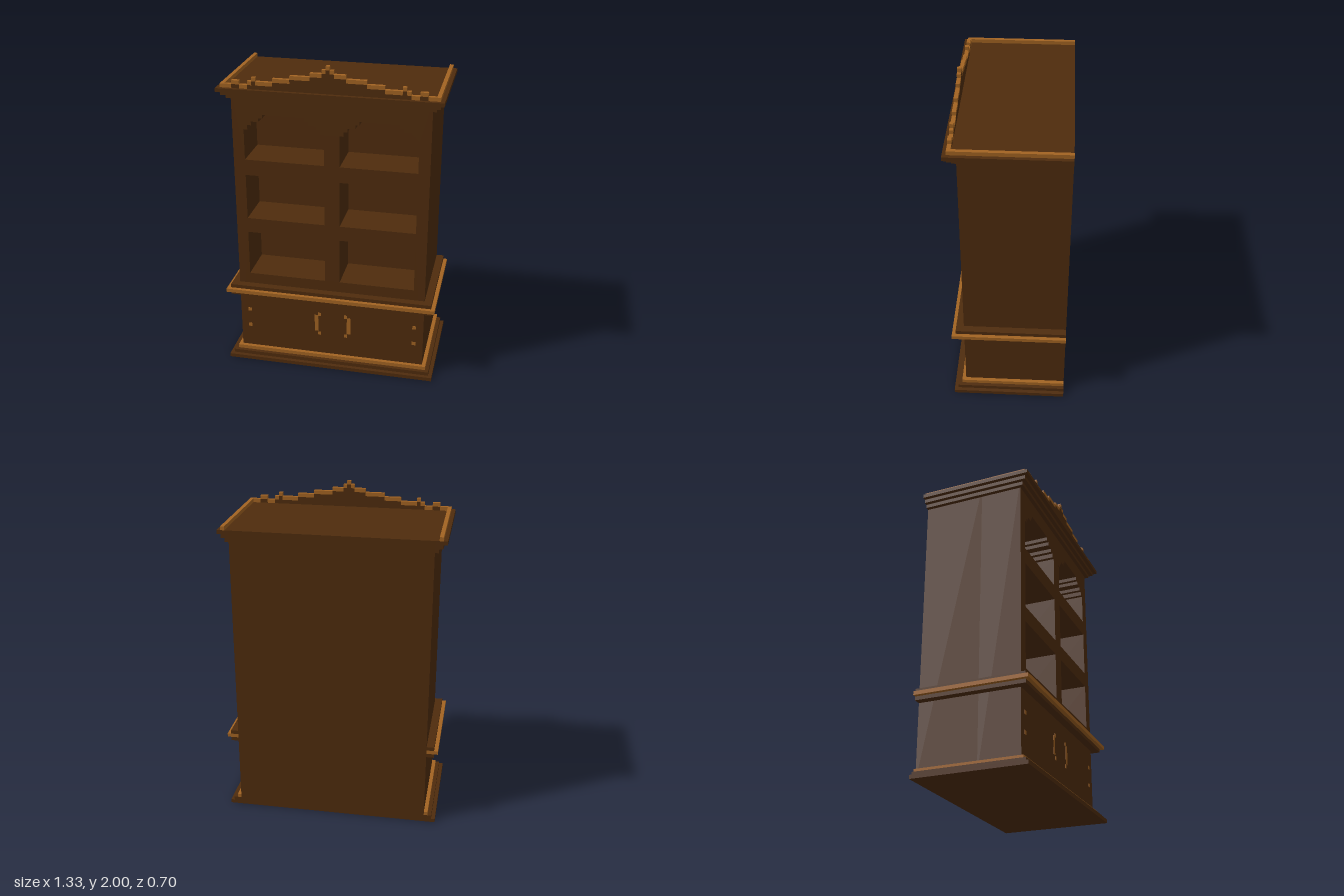
import * as THREE from 'three';

const U = 1 / 43; // one block
const BACK = -15, FRONT = 12, HALF = 25.5;

export function createModel() {
  const model = new THREE.Group();
  model.name = 'bookcase';
  const dark = new THREE.MeshStandardMaterial({ color: 0x4f2c0d });
  dark.name = 'dark wood';
  const light = new THREE.MeshStandardMaterial({ color: 0xa36422 });
  light.name = 'light wood';

  // Box given by its limits in blocks
  function box(parent, name, mat, x0, x1, y0, y1, z0, z1) {
    const geo = new THREE.BoxGeometry((x1 - x0) * U, (y1 - y0) * U, (z1 - z0) * U);
    const mesh = new THREE.Mesh(geo, mat);
    mesh.position.set((x0 + x1) / 2 * U, (y0 + y1) / 2 * U, (z0 + z1) / 2 * U);
    mesh.name = name;
    parent.add(mesh);
  }
  function group(name) {
    const g = new THREE.Group();
    g.name = name;
    model.add(g);
    return g;
  }

  // Solid rear half of the carcass; its front is the back of the niches
  box(model, 'carcassBack', dark, -HALF, HALF, 0, 79, BACK, 1);

  // Front half of the carcass, pierced by six niches
  const P = (x, y) => new THREE.Vector2(x * U, y * U);
  const face = new THREE.Shape([P(-HALF, 0), P(HALF, 0), P(HALF, 79), P(-HALF, 79)]);
  for (const [x0, x1] of [[-22.5, -1.5], [2.5, 22.5]]) {
    for (const [y0, y1] of [[26, 38.5], [42.6, 55]]) {
      face.holes.push(new THREE.Path([P(x0, y0), P(x0, y1), P(x1, y1), P(x1, y0)]));
    }
    // Top niche with a stepped arch: inset from the side, drop from the crown
    const steps = [[0, 4.2], [1, 4.2], [1, 3], [2, 3], [2, 2], [4, 2], [4, 1], [5, 1], [5, 0]];
    const top = 71.8;
    face.holes.push(new THREE.Path([
      P(x0, 59.3),
      ...steps.map(([i, d]) => P(x0 + i, top - d)),
      ...steps.slice().reverse().map(([i, d]) => P(x1 - i, top - d)),
      P(x1, 59.3),
    ]));
  }
  const panel = new THREE.Mesh(
    new THREE.ExtrudeGeometry(face, { depth: 11 * U, bevelEnabled: false }), dark);
  panel.position.z = U;
  panel.name = 'shelfFront';
  model.add(panel);

  // Moulding courses wrapping the front and both sides: [y, overhang, material]
  const courses = {
    plinth: [[0, 3, dark], [1, 2, dark], [2, 1, light]],
    waistMoulding: [[20, 2, dark], [21, 3, light], [22, 2, dark]],
    cornice: [[76, 1, dark], [77, 2, dark], [78, 3, dark]],
  };
  for (const [name, list] of Object.entries(courses)) {
    const g = group(name);
    for (const [y, o, mat] of list) {
      box(g, name + 'Front', mat, -HALF - o, HALF + o, y, y + 1, FRONT, FRONT + o);
      box(g, name + 'Left', mat, HALF, HALF + o, y, y + 1, BACK, FRONT);
      box(g, name + 'Right', mat, -HALF - o, -HALF, y, y + 1, BACK, FRONT);
    }
  }

  // Rim along the sides of the top
  const rim = group('topRim');
  box(rim, 'rimLeft', light, 26.5, 27.5, 79, 80, BACK, 14);
  box(rim, 'rimRight', light, -27.5, -26.5, 79, 80, BACK, 14);

  // Stepped crest with a light capping: [inner x, outer x, top]
  const crest = group('crest');
  function crestStep(x0, x1, h) {
    if (h > 80) box(crest, 'crestBoard', dark, x0, x1, 79, h - 1, 13, 14);
    box(crest, 'crestCap', light, x0, x1, h - 1, h, 13, 14);
  }
  crestStep(-0.5, 0.5, 86);
  const runs = [[0.5, 1.5, 85], [1.5, 4.5, 84], [4.5, 9.6, 83], [9.6, 14, 82], [14, 18.3, 81],
    [18.3, 19.3, 82], [19.3, 20.4, 81], [20.4, 22.5, 80], [22.5, 24.5, 81], [24.5, 26.5, 80]];
  for (const [a, b, h] of runs) {
    crestStep(a, b, h);
    crestStep(-b, -a, h);
  }

  // Door handles and hinges, thin inlays on the lower front
  const plate = (g, name, x0, x1, y0, y1) =>
    box(g, name, light, x0, x1, y0, y1, FRONT - 0.05, FRONT + 0.1);
  const handles = group('handles'), hinges = group('hinges');
  for (const s of [-1, 1]) {
    const c = 0.5 + s * 4.5; // handle column
    plate(handles, 'handleBar', c - 0.5, c + 0.5, 10, 15);
    const e = c - s * 0.85; // ends turn inwards
    for (const y of [9, 15]) {
      plate(handles, 'handleEnd', e - 0.4, e + 0.4, y - 0.2, y + 0.8);
    }
    for (const y of [9, 14]) {
      plate(hinges, 'hinge', s * 23 - 0.5, s * 23 + 0.5, y, y + 1);
    }
  }
  return model;
}
